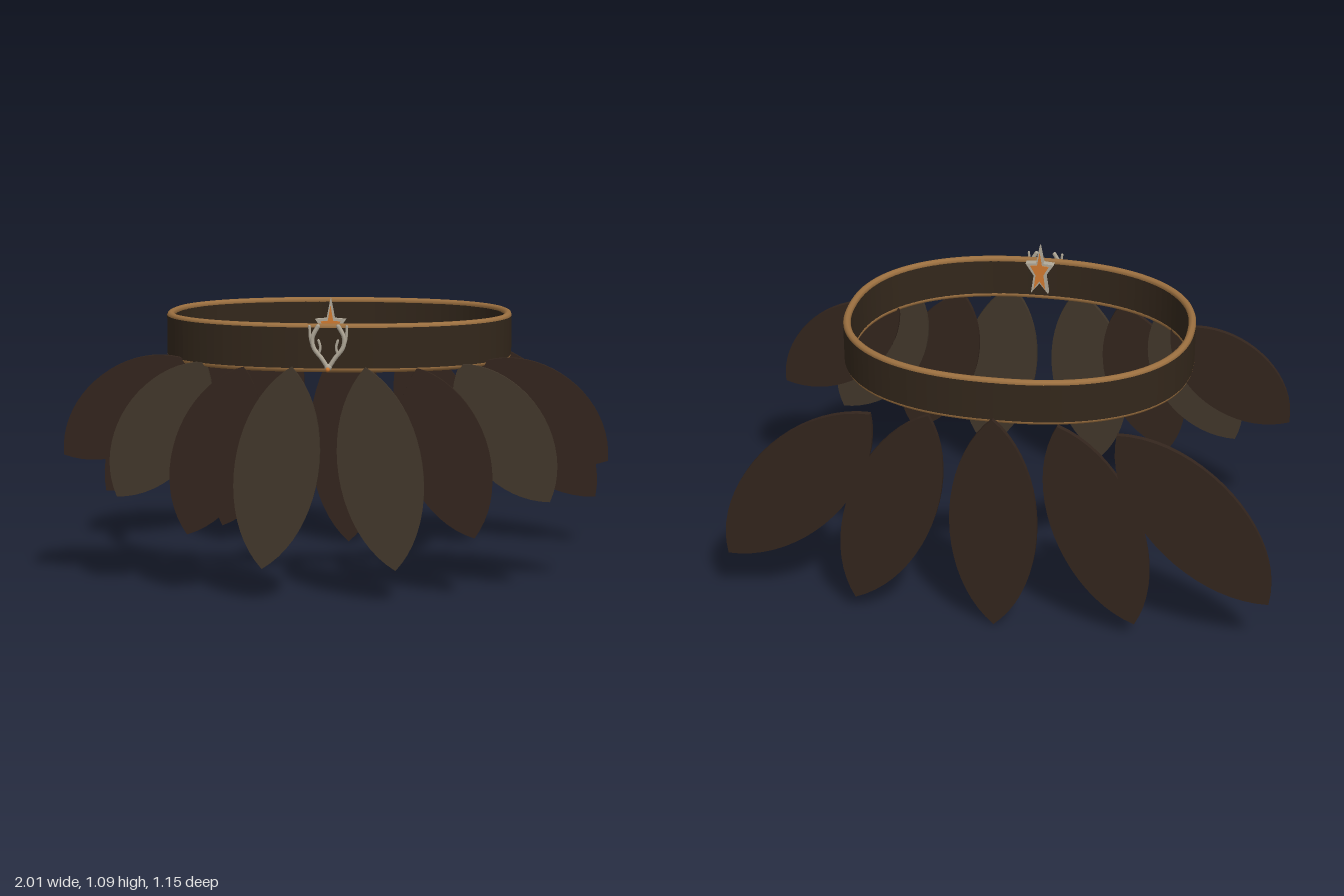
import * as THREE from 'three';

const mat = (color) => new THREE.MeshStandardMaterial({ color });
const band = mat(0x33271b), darkLeaf = mat(0x33251d), lightLeaf = mat(0x41362a);
const gold = mat(0x9c7040), silver = mat(0xb0a898), amber = mat(0xd07a30);
const CENTER_Z = -0.025;

function add(parent, name, geometry, material, x = 0, y = 0, z = 0) {
  const mesh = new THREE.Mesh(geometry, material);
  mesh.name = name;
  mesh.position.set(x, y, z);
  parent.add(mesh);
  return mesh;
}

// Rounded oval (superellipse) outline of the belt
function oval(a, b, n = 96) {
  return Array.from({ length: n }, (_, i) => {
    const t = (i / n) * Math.PI * 2, c = Math.cos(t), s = Math.sin(t), e = 2 / 2.3;
    return new THREE.Vector2(a * Math.sign(c) * Math.abs(c) ** e, b * Math.sign(s) * Math.abs(s) ** e);
  });
}

// Thin leaf from its base to its tip, bulging by half on either side
function leaf(parent, name, [bx, by], [tx, ty], z, half, material) {
  const axis = new THREE.Vector2(tx - bx, ty - by);
  const L = axis.length(), h = half / 0.75;
  const shape = new THREE.Shape();
  shape.moveTo(0, 0);
  shape.bezierCurveTo(h, L * 0.22, h, L * 0.78, 0, L);
  shape.bezierCurveTo(-h, L * 0.78, -h, L * 0.22, 0, 0);
  const geo = new THREE.ExtrudeGeometry(shape, { depth: 0.02, bevelEnabled: false, curveSegments: 20 });
  geo.translate(0, 0, -0.01);
  const mesh = add(parent, name, geo, material, bx, by, z);
  mesh.rotation.z = Math.atan2(axis.y, axis.x) - Math.PI / 2;
}

function starGeometry(sx, sy, depth) {
  const pts = Array.from({ length: 10 }, (_, i) => {
    const a = Math.PI / 2 + (i * Math.PI) / 5, r = i % 2 ? 0.42 : 1;
    return new THREE.Vector2(Math.cos(a) * r * sx, Math.sin(a) * r * sy);
  });
  const geo = new THREE.ExtrudeGeometry(new THREE.Shape(pts), { depth, bevelEnabled: false });
  return geo.translate(0, 0, -depth / 2);
}

export function createModel() {
  const model = new THREE.Group();

  // Belt wall
  const wall = new THREE.Shape(oval(0.648, 0.531));
  wall.holes.push(new THREE.Path(oval(0.622, 0.505)));
  const wallGeo = new THREE.ExtrudeGeometry(wall, { depth: 0.145, bevelEnabled: false });
  wallGeo.rotateX(-Math.PI / 2);
  add(model, 'beltBand', wallGeo, band, 0, 0.846, CENTER_Z);

  // Gold piping along both edges
  const path = new THREE.CatmullRomCurve3(
    oval(0.634, 0.517).map((p) => new THREE.Vector3(p.x, 0, p.y)), true);
  for (const [name, y] of [['topTrim', 0.991], ['bottomTrim', 0.845]]) {
    add(model, name, new THREE.TubeGeometry(path, 128, 0.014, 8, true), gold, 0, y, CENTER_Z);
  }

  // Front leaves: base, tip, depth, colour; mirrored to both sides
  const frontLeaves = [
    [[0.13, 0.855], [0.24, 0.125], 0.535, lightLeaf],
    [[0.31, 0.845], [0.52, 0.23], 0.45, darkLeaf],
    [[0.46, 0.85], [0.79, 0.35], 0.365, lightLeaf],
    [[0.53, 0.845], [1.0, 0.49], 0.28, darkLeaf],
  ];
  // Back leaves share one plane
  const backLeaves = [
    [[0.23, 0.85], [0.52, 0.06], 0.16],
    [[0.44, 0.835], [1.0, 0.2], 0.175],
  ];
  for (const s of [1, -1]) {
    const side = s > 0 ? 'left' : 'right';
    frontLeaves.forEach(([b, t, z, m], i) =>
      leaf(model, `${side}FrontLeaf${i + 1}`, [b[0] * s, b[1]], [t[0] * s, t[1]], z, 0.15, m));
    backLeaves.forEach(([b, t, half], i) =>
      leaf(model, `${side}BackLeaf${i + 1}`, [b[0] * s, b[1]], [t[0] * s, t[1]], -0.565, half, darkLeaf));
  }
  leaf(model, 'centerBackLeaf', [0, 0.855], [0, 0], -0.565, 0.16, darkLeaf);

  // Antler clasp on the front: a beam and two tines per side
  const antlers = new THREE.Group();
  antlers.name = 'antlerClasp';
  antlers.position.z = 0.545;
  model.add(antlers);
  const branches = [
    [0.008, [0, 0.85], [0.022, 0.885], [0.052, 0.925], [0.056, 0.96], [0.036, 1.0]],
    [0.005, [0.05, 0.92], [0.062, 0.95], [0.066, 1.0]],
    [0.005, [0.034, 0.9], [0.028, 0.925], [0.034, 0.95]],
  ];
  for (const s of [1, -1]) {
    for (const [r, ...pts] of branches) {
      const curve = new THREE.CatmullRomCurve3(pts.map(([x, y]) => new THREE.Vector3(x * s, y, 0)));
      add(antlers, 'antlerBranch', new THREE.TubeGeometry(curve, 14, r, 7), silver);
      const end = pts[pts.length - 1];
      add(antlers, 'antlerTip', new THREE.SphereGeometry(r, 7, 5), silver, end[0] * s, end[1]);
    }
  }
  add(antlers, 'claspBase', new THREE.SphereGeometry(0.013, 10, 8), silver, 0, 0.855, 0);
  add(antlers, 'claspBead', new THREE.SphereGeometry(0.008, 10, 8), amber, 0, 0.85, 0.025);

  // Star ornament: silver body with amber faces
  const star = new THREE.Group();
  star.name = 'starOrnament';
  star.position.set(0, 0.98, 0.42);
  model.add(star);
  add(star, 'starBody', starGeometry(0.058, 0.11, 0.028), silver);
  for (const s of [1, -1]) {
    add(star, 'starInlay', starGeometry(0.038, 0.085, 0.006), amber, 0, 0, s * 0.015);
  }
  return model;
}
